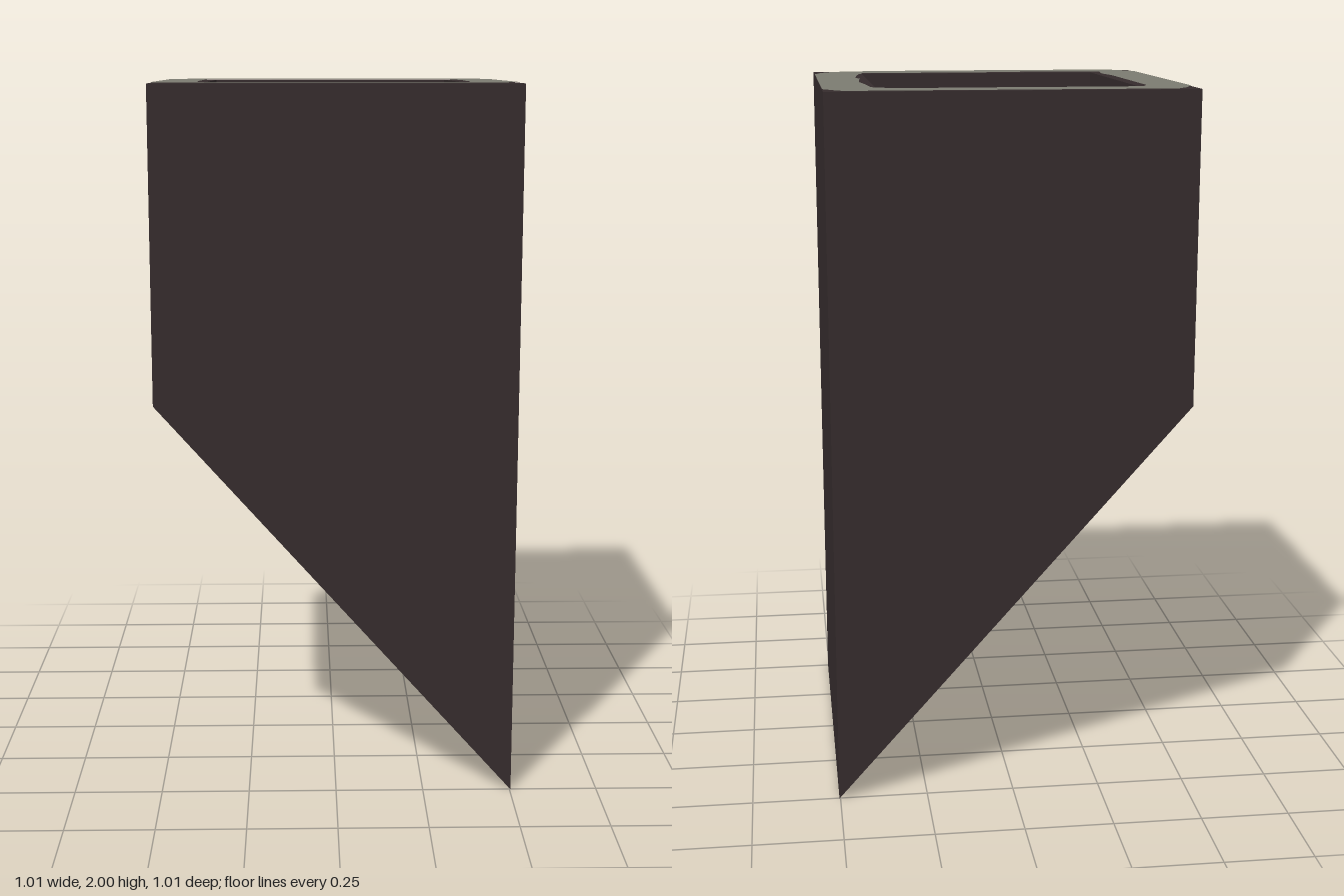
import * as THREE from 'three';

const H = 0.503, TOP = 2, SHORT = 1.13;      // half width, top height, lower edge of the short side
const HX = 0.358, HZ = 0.371, FLOOR = 1.64;  // flue opening and its floor

const soot = new THREE.MeshStandardMaterial({ color: 0x352c2d, side: THREE.DoubleSide });
soot.name = 'dark soot';
const stone = new THREE.MeshStandardMaterial({ color: 0x7c7c71 });
stone.name = 'grey stone';

export function createModel() {
  const group = new THREE.Group();
  group.name = 'chimney';

  const add = (name, geometry, material, x, y, z, ry = 0) => {
    const mesh = new THREE.Mesh(geometry, material);
    mesh.name = name;
    mesh.position.set(x, y, z);
    mesh.rotation.y = ry;
    group.add(mesh);
  };
  const points = (list) => list.map(([x, y]) => new THREE.Vector2(x, y));
  // Horizontal face from [x, z] outlines
  const flat = (outline, hole) => {
    const toShape = (list) => points(list.map(([x, z]) => [x, -z]));
    const shape = new THREE.Shape(toShape(outline));
    if (hole) shape.holes.push(new THREE.Path(toShape(hole)));
    return new THREE.ShapeGeometry(shape).rotateX(-Math.PI / 2);
  };
  const rect = (a, b) => [[-a, -b], [a, -b], [a, b], [-a, b]];

  // Outer shell, cut on a slope and open underneath
  const profile = new THREE.Shape(points([[-H, SHORT], [H, 0], [H, TOP], [-H, TOP]]));
  add('frontWall', new THREE.ShapeGeometry(profile), soot, 0, 0, H);
  add('backWall', new THREE.ShapeGeometry(profile), soot, 0, 0, -H);
  add('tallSideWall', new THREE.PlaneGeometry(2 * H, TOP), soot, H, TOP / 2, 0, Math.PI / 2);
  add('shortSideWall', new THREE.PlaneGeometry(2 * H, TOP - SHORT), soot, -H, (TOP + SHORT) / 2, 0, -Math.PI / 2);

  // Top rim and the recessed flue
  add('rim', flat(rect(H, H), rect(HX, HZ)), soot, 0, TOP, 0);
  const depth = TOP - FLOOR, mid = (TOP + FLOOR) / 2;
  for (const s of [-1, 1]) {
    add('flueSide', new THREE.PlaneGeometry(2 * HZ, depth), soot, s * HX, mid, 0, -s * Math.PI / 2);
    add('flueEnd', new THREE.PlaneGeometry(2 * HX, depth), soot, 0, mid, s * HZ, s > 0 ? Math.PI : 0);
  }
  add('flueFloor', flat(rect(HX, HZ)), soot, 0, FLOOR, 0);

  // Worn stone band on the rim, with sooty corners and a ragged inner edge
  const outer = [
    [-0.44, -H], [0.45, -H], [0.475, -0.47], [H, -0.42],
    [H, 0.32], [0.485, 0.39], [0.46, 0.435], [0.42, 0.465], [0.35, 0.485], [0.26, 0.488], [0.2, H],
    [-0.42, H], [-0.455, 0.475], [-0.485, 0.43], [-H, 0.39],
    [-H, -0.38], [-0.485, -0.42], [-0.475, -0.45],
  ];
  const inner = [
    [-0.37, -0.385], [-0.33, -0.395], [-0.1, -0.397], [-0.04, -0.402], [0.02, -0.395], [0.2, -0.398],
    [0.28, -0.405], [0.33, -0.385], [0.37, -0.35], [0.38, -0.2], [0.39, -0.1], [0.385, 0],
    [0.378, 0.06], [0.39, 0.11], [0.382, 0.22], [0.37, 0.31], [0.358, 0.34], [0.358, 0.371],
    [-0.02, 0.373], [-0.06, 0.385], [-0.2, 0.4], [-0.28, 0.392], [-0.36, 0.39], [-0.387, 0.37],
    [-0.374, 0.26], [-0.387, 0.16], [-0.386, -0.34],
  ];
  add('stoneBand', flat(outer, inner), stone, 0, TOP + 0.002, 0);

  return group;
}
